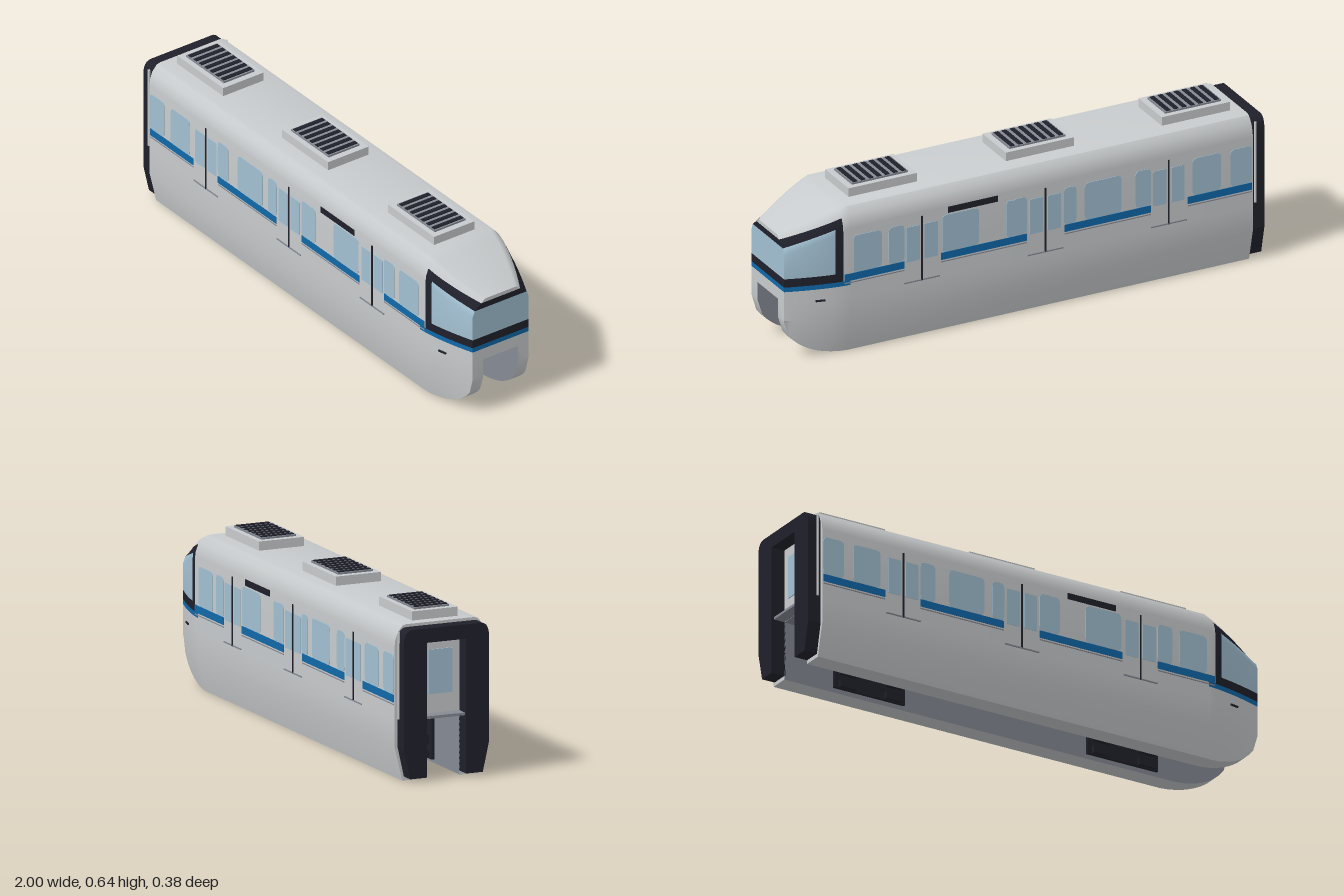
import * as THREE from 'three';
import { toCreasedNormals } from 'three/addons/utils/BufferGeometryUtils.js';

const material = (name, color) => {
  const m = new THREE.MeshStandardMaterial({ color });
  m.name = name;
  return m;
};

export function createModel() {
  const body = material('body silver', 0xc8cbcd);
  const dark = material('dark trim', 0x20202b);
  const glass = material('glass blue', 0xa2c0d2);
  const blue = material('stripe blue', 0x0f69aa);
  const grey = material('mid grey', 0x858a94);
  const model = new THREE.Group();
  model.name = 'monorailCar';

  const add = (parent, name, geometry, mat, x = 0, y = 0, z = 0) => {
    const mesh = new THREE.Mesh(geometry, mat);
    mesh.name = name;
    mesh.position.set(x, y, z);
    parent.add(mesh);
    return mesh;
  };
  // Box given by its limits in x and y, plus centre and thickness in z
  const box = (parent, name, mat, x0, x1, y0, y1, z, d) =>
    add(parent, name, new THREE.BoxGeometry(x1 - x0, y1 - y0, d), mat, (x0 + x1) / 2, (y0 + y1) / 2, z);

  // ---- Hull: half cross-section [z, y] at x, from channel roof round to the roof edge
  const lerp = THREE.MathUtils.lerp;
  const half = (x) => {
    const t = Math.max(0, (x - 0.75) / 0.25);
    const w = 0.188 - 0.058 * t ** 1.5;
    const bottom = 0.16 * (1 - Math.sqrt(Math.max(0, 1 - t * t)));
    const at = (z0, y0, z1, y1) => [lerp(z0, z1, t ** 1.5), lerp(y0, y1, t)];
    return [
      [0, 0.235], [0.081, 0.235], [0.081, bottom],
      [lerp(0.157, 0.127, t), bottom],
      [w, lerp(0.13, 0.164, t)],
      [w, 0.235], [w, 0.282], [w, 0.301], [w, 0.335],
      at(0.188, 0.515, 0.13, 0.435),
      at(0.186, 0.536, 0.12, 0.459),
      at(0.176, 0.567, 0.09, 0.483),
      at(0.155, 0.592, 0.075, 0.496),
      at(0.14, 0.596, 0.068, 0.498),
    ];
  };
  const paint = (row, x) => {
    if (row < 2) return grey;
    if (row === 6 && x > 0.74) return blue;
    if (row === 7 && x > 0.77) return dark;
    if ((row === 8 || row === 9) && x > 0.77) return x > 0.8 ? glass : dark;
    if (row === 10 && x > 0.77) return dark;
    return body;
  };
  const mats = [body, dark, glass, blue, grey];
  const buckets = mats.map(() => []);
  const poly = (points, mat, flip) => {
    const p = flip ? [...points].reverse() : points;
    const out = buckets[mats.indexOf(mat)];
    for (let i = 1; i < p.length - 1; i++) out.push(...p[0], ...p[i], ...p[i + 1]);
  };
  const p3 = (x, [z, y], side = 1) => [x, y, z * side];

  const stations = [-0.945, 0.75, 0.78, 0.81];
  for (let i = 1; i <= 10; i++) stations.push(0.81 + 0.019 * i);
  const last = half(0).length - 1;
  for (let i = 0; i < stations.length - 1; i++) {
    const xa = stations[i], xb = stations[i + 1], a = half(xa), b = half(xb);
    for (const s of [1, -1]) {
      for (let j = 0; j < last; j++) {
        poly([p3(xa, a[j], s), p3(xb, b[j], s), p3(xb, b[j + 1], s), p3(xa, a[j + 1], s)], paint(j, xa), s < 0);
      }
    }
    poly([p3(xa, a[last]), p3(xb, b[last]), p3(xb, b[last], -1), p3(xa, a[last], -1)], body);
  }
  // End walls, open below the channel roof
  for (const x of [1, -0.945]) {
    const h = half(x), back = x < 0;
    for (let j = 5; j < last; j++) {
      poly([p3(x, h[j]), p3(x, h[j], -1), p3(x, h[j + 1], -1), p3(x, h[j + 1])], paint(j, x), back);
    }
    for (const s of [1, -1]) {
      poly([5, 4, 2, 1].map((k) => p3(x, h[k], s)), body, back !== s < 0);
      poly([4, 3, 2].map((k) => p3(x, h[k], s)), body, back !== s < 0);
    }
  }
  const hull = new THREE.BufferGeometry();
  hull.setAttribute('position', new THREE.Float32BufferAttribute(buckets.flat(), 3));
  let start = 0;
  buckets.forEach((list, i) => {
    hull.addGroup(start, list.length / 3, i);
    start += list.length / 3;
  });
  add(model, 'hull', toCreasedNormals(hull, 0.6), mats);

  // ---- Side windows, doors, stripes and signs on both sides
  const pane = (x0, x1, y0, y1, r) => {
    const s = new THREE.Shape();
    s.moveTo(x0 + r, y0);
    s.lineTo(x1 - r, y0).quadraticCurveTo(x1, y0, x1, y0 + r);
    s.lineTo(x1, y1 - r).quadraticCurveTo(x1, y1, x1 - r, y1);
    s.lineTo(x0 + r, y1).quadraticCurveTo(x0, y1, x0, y1 - r);
    s.lineTo(x0, y0 + r).quadraticCurveTo(x0, y0, x0 + r, y0);
    return new THREE.ExtrudeGeometry(s, { depth: 0.004, bevelEnabled: false, curveSegments: 5 });
  };
  const windows = [[-0.94, -0.85], [-0.81, -0.69], [-0.515, -0.45], [-0.39, -0.235], [-0.2, -0.148],
    [0.008, 0.07], [0.06 + 0.0, 0.095], [0.21, 0.365], [0.525, 0.59], [0.62, 0.74]];
  const stripes = [[-0.94, -0.67], [-0.515, -0.15], [0.008, 0.37], [0.525, 0.775]];
  for (const s of [1, -1]) {
    const side = new THREE.Group();
    side.name = s > 0 ? 'frontSideDetails' : 'backSideDetails';
    model.add(side);
    const z = s * 0.188;
    for (const [a, b] of windows) add(side, 'window', pane(a, b, 0.33, 0.482, 0.02), glass, 0, 0, z - 0.002);
    for (const [a, b] of stripes) {
      box(side, 'stripe', blue, a, b, 0.3, 0.329, z, 0.004);
      box(side, 'stripeLine', grey, a, b, 0.29, 0.294, z, 0.003);
    }
    for (const x of [-0.59, -0.07, 0.45]) {
      box(side, 'doorSeam', dark, x - 0.003, x + 0.003, 0.235, 0.5, z, 0.006);
      box(side, 'doorSill', grey, x - 0.075, x + 0.075, 0.235, 0.24, z, 0.006);
      for (const d of [-1, 1]) {
        add(side, 'doorWindow', pane(x + d * 0.038 - 0.028, x + d * 0.038 + 0.028, 0.322, 0.466, 0.005), glass, 0, 0, z - 0.002);
      }
    }
    box(side, 'destinationSign', dark, 0.13, 0.34, 0.489, 0.513, z, 0.006);
    // Small marker lamp on the tapered nose
    const lamp = box(side, 'markerLamp', dark, 0.852, 0.888, 0.234, 0.24, s * 0.1745, 0.006);
    lamp.rotation.y = s * 0.23;
    add(side, 'handrail', new THREE.CylinderGeometry(0.005, 0.005, 0.33, 8), body, -0.96, 0.405, s * 0.179);
  }

  // ---- Roof air-conditioning units with slatted grilles
  for (const x of [-0.755, -0.098, 0.565]) {
    const unit = new THREE.Group();
    unit.name = 'roofUnit';
    unit.position.x = x;
    model.add(unit);
    box(unit, 'unitHousing', body, -0.144, 0.144, 0.585, 0.631, 0, 0.187);
    box(unit, 'grille', grey, -0.118, 0.118, 0.63, 0.638, 0, 0.143);
    for (let i = 0; i < 7; i++) {
      const sx = -0.102 + i * 0.034;
      box(unit, 'slat', dark, sx - 0.009, sx + 0.009, 0.637, 0.641, 0, 0.135);
    }
  }

  // ---- Gangway arch at the rear with a glazed end door
  const arch = new THREE.Shape();
  arch.moveTo(0.081, 0.015);
  arch.lineTo(0.15, 0.015).lineTo(0.176, 0.13).lineTo(0.176, 0.53);
  arch.quadraticCurveTo(0.176, 0.585, 0.14, 0.585);
  arch.lineTo(-0.14, 0.585);
  arch.quadraticCurveTo(-0.176, 0.585, -0.176, 0.53);
  arch.lineTo(-0.176, 0.13).lineTo(-0.15, 0.015).lineTo(-0.081, 0.015);
  arch.lineTo(-0.081, 0.53).lineTo(0.081, 0.53);
  const archGeometry = new THREE.ExtrudeGeometry(arch, { depth: 0.06, bevelEnabled: false, curveSegments: 6 });
  archGeometry.rotateY(Math.PI / 2);
  add(model, 'gangwayArch', archGeometry, dark, -1);
  box(model, 'gangwayFloor', grey, -0.99, -0.94, 0.236, 0.246, 0, 0.162);
  box(model, 'endDoorWindow', glass, -0.949, -0.943, 0.32, 0.49, 0, 0.1);

  // ---- Bogies hidden in the beam channel
  for (const x of [0.53, -0.58]) {
    const bogie = new THREE.Group();
    bogie.name = 'bogie';
    bogie.position.x = x;
    model.add(bogie);
    box(bogie, 'bogieFrame', dark, -0.155, 0.155, 0.208, 0.234, 0, 0.16);
    for (const s of [1, -1]) {
      box(bogie, 'sidePanel', dark, -0.155, 0.155, 0.016, 0.21, s * 0.071, 0.011);
      for (const gx of [-0.1, 0.1]) {
        box(bogie, 'guideWheel', dark, gx - 0.035, gx + 0.035, 0.071, 0.107, s * 0.06, 0.014);
        box(bogie, 'stabiliserWheel', dark, gx - 0.035, gx + 0.035, 0.02, 0.047, s * 0.06, 0.014);
      }
    }
    for (const wx of [-0.075, 0.075]) {
      const wheel = (name, r, w, mat) => {
        const g = new THREE.CylinderGeometry(r, r, w, 24);
        g.rotateX(Math.PI / 2);
        add(bogie, name, g, mat, wx, 0.175, 0);
      };
      wheel('loadWheel', 0.058, 0.078, dark);
      wheel('axle', 0.02, 0.104, grey);
    }
  }
  return model;
}
